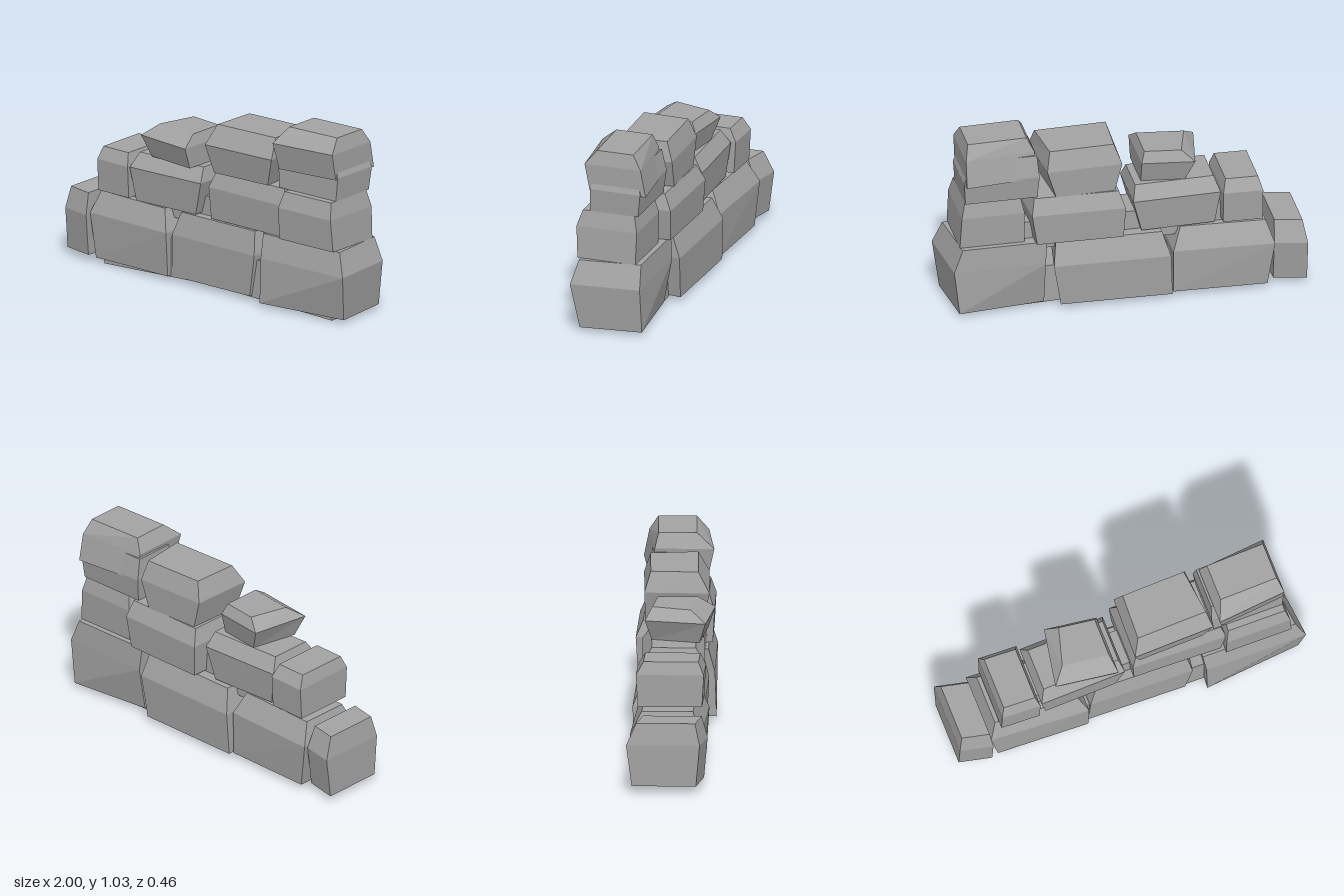
import * as THREE from 'three';

const stone = new THREE.MeshStandardMaterial({ color: 0xa3a3a3, flatShading: true });
stone.name = 'grey stone';

// Rough stone lofted through rings of [y, left x, right x, back z, front z, yaw].
// yaw slants a ring in plan, backL / backR shift the rear corners sideways.
function makeStone(name, rings, { backL = 0, backR = 0 } = {}) {
  const cx = (rings[1][1] + rings[1][2]) / 2;
  const loops = rings.map(([y, x0, x1, z0, z1, yaw = 0]) =>
    [[x0, z1], [x1, z1], [x1 + backR, z0], [x0 + backL, z0]]
      .map(([x, z]) => [x, y, z + yaw * (x - cx)]));
  const pos = [];
  const quad = (a, b, c, d) => pos.push(...a, ...b, ...c, ...a, ...c, ...d);
  for (let r = 0; r < loops.length - 1; r++) {
    for (let i = 0; i < 4; i++) {
      const j = (i + 1) % 4;
      quad(loops[r][i], loops[r][j], loops[r + 1][j], loops[r + 1][i]);
    }
  }
  const top = loops[loops.length - 1], bottom = loops[0];
  quad(top[0], top[1], top[2], top[3]);
  quad(bottom[3], bottom[2], bottom[1], bottom[0]);
  const geo = new THREE.BufferGeometry();
  geo.setAttribute('position', new THREE.Float32BufferAttribute(pos, 3));
  geo.computeVertexNormals();
  const mesh = new THREE.Mesh(geo, stone);
  mesh.name = name;
  return mesh;
}

function makeCore(name, w, h, d, x, y, z, tilt = 0) {
  const mesh = new THREE.Mesh(new THREE.BoxGeometry(w, h, d), stone);
  mesh.position.set(x, y, z);
  mesh.rotation.z = tilt;
  mesh.name = name;
  return mesh;
}

export function createModel() {
  const wall = new THREE.Group();
  wall.name = 'ruinedStoneWall';

  // Bottom course
  const bottomCourse = new THREE.Group();
  bottomCourse.name = 'bottomCourse';
  bottomCourse.add(
    makeStone('endStone', [
      [0.04, -1.0, -0.82, -0.18, 0.17, 0.22],
      [0.27, -1.0, -0.82, -0.21, 0.19, 0.22],
      [0.39, -0.98, -0.83, -0.16, 0.16, 0.22]]),
    makeStone('leftBaseStone', [
      [0.03, -0.78, -0.26, -0.19, 0.18, 0.03],
      [0.28, -0.82, -0.26, -0.2, 0.19, 0.05],
      [0.4, -0.78, -0.31, -0.14, 0.14, 0.05]]),
    makeStone('middleBaseStone', [
      [0.03, -0.25, 0.31, -0.2, 0.17, 0.02],
      [0.27, -0.24, 0.35, -0.21, 0.18, 0.02],
      [0.4, -0.2, 0.33, -0.16, 0.15, 0.02]], { backR: 0.06 }),
    makeStone('rightBaseStone', [
      [0.025, 0.42, 0.97, -0.155, 0.195, -0.1],
      [0.28, 0.42, 1.0, -0.175, 0.215],
      [0.41, 0.41, 0.95, -0.165, 0.18]], { backL: 0.03, backR: -0.04 }));

  // Second course
  const secondCourse = new THREE.Group();
  secondCourse.name = 'secondCourse';
  secondCourse.add(
    makeStone('leftSecondStone', [
      [0.42, -0.76, -0.54, -0.17, 0.18, 0.03],
      [0.6, -0.76, -0.54, -0.18, 0.19, 0.03],
      [0.67, -0.74, -0.56, -0.14, 0.16, 0.03]]),
    makeStone('leftMiddleStone', [
      [0.41, -0.5, -0.09, -0.14, 0.16, -0.03],
      [0.6, -0.53, -0.04, -0.16, 0.18, -0.03],
      [0.68, -0.5, -0.06, -0.11, 0.13, -0.03]]),
    makeStone('rightMiddleStone', [
      [0.41, 0.02, 0.52, -0.19, 0.16, 0.02],
      [0.59, 0.01, 0.55, -0.2, 0.17, 0.02],
      [0.68, 0.04, 0.53, -0.16, 0.14, 0.02]], { backR: -0.02 }),
    makeStone('rightSecondStone', [
      [0.41, 0.54, 0.92, -0.135, 0.2],
      [0.59, 0.54, 0.91, -0.14, 0.21],
      [0.68, 0.56, 0.89, -0.12, 0.18]], { backL: 0.02 }));

  // Upper stones and cap
  const upperCourse = new THREE.Group();
  upperCourse.name = 'upperCourse';
  upperCourse.add(
    makeStone('looseTopStone', [
      [0.68, -0.4, -0.1, -0.1, 0.17, 0.13],
      [0.8, -0.45, -0.1, -0.13, 0.21, 0.13],
      [0.86, -0.38, -0.12, -0.1, 0.12, 0.13]], { backL: 0.06 }),
    makeStone('upperMiddleStone', [
      [0.68, 0.05, 0.42, -0.16, 0.16, -0.03],
      [0.84, 0.01, 0.47, -0.165, 0.19, -0.03],
      [0.95, 0.05, 0.45, -0.13, 0.13, -0.03]], { backL: 0.01, backR: -0.03 }),
    makeStone('upperRightStone', [
      [0.68, 0.49, 0.89, -0.14, 0.14],
      [0.81, 0.48, 0.9, -0.155, 0.135],
      [0.93, 0.49, 0.86, -0.13, 0.1]]),
    makeStone('capStone', [
      [0.8, 0.52, 0.89, -0.165, 0.16, -0.1],
      [0.95, 0.5, 0.89, -0.135, 0.19, -0.1],
      [1.03, 0.54, 0.87, -0.1, 0.11, -0.03]]));

  // Rubble filling seen in the gaps and underneath
  const core = new THREE.Group();
  core.name = 'rubbleCore';
  core.add(
    makeCore('leftFooting', 0.73, 0.22, 0.28, -0.372, 0.127, 0.02, 0.04),
    makeCore('rightFooting', 0.87, 0.22, 0.28, 0.447, 0.127, 0.02, -0.035),
    makeCore('innerFill', 1.4, 0.17, 0.2, 0.1, 0.425, 0));

  wall.add(bottomCourse, secondCourse, upperCourse, core);
  return wall;
}
